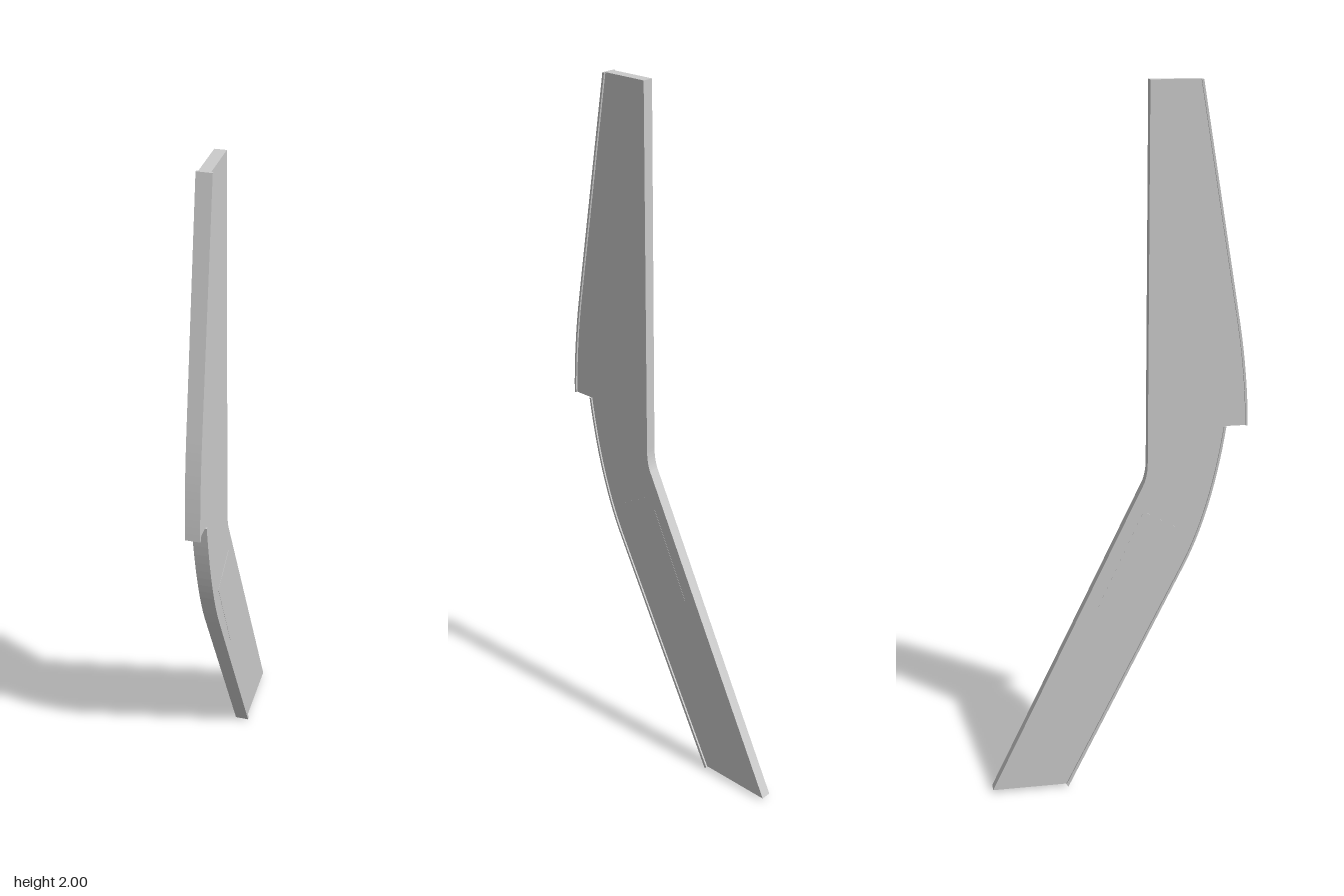
import * as THREE from 'three';

const material = new THREE.MeshStandardMaterial({ color: 0xcccccc });
const TRIM = 0.006; // thickness of the front edging

// Extrudes a side profile of (z, y) points to a width centred on x = 0
function plate(name, points, width) {
  const geometry = new THREE.ExtrudeGeometry(new THREE.Shape(points), { depth: width, bevelEnabled: false });
  geometry.translate(0, 0, -width / 2);
  geometry.rotateY(-Math.PI / 2);
  const mesh = new THREE.Mesh(geometry, material);
  mesh.name = name;
  return mesh;
}

// Moves a downward-running front edge back by a distance along its normals
function inset(points, d) {
  return points.map((p, i) => {
    const a = points[Math.max(i - 1, 0)];
    const b = points[Math.min(i + 1, points.length - 1)];
    const t = b.clone().sub(a).normalize();
    return new THREE.Vector2(p.x + t.y * d, p.y - t.x * d);
  });
}

export function createModel() {
  const group = new THREE.Group();
  group.name = 'bentPost';

  // Front edges, from top to bottom
  const upper = new THREE.Path().moveTo(0.225, 2).lineTo(0.335, 1.37)
    .quadraticCurveTo(0.361, 1.22, 0.365, 1.075).getPoints(14);
  const lower = new THREE.Path().moveTo(0.305, 1.075)
    .quadraticCurveTo(0.27, 0.83, 0.19, 0.67).lineTo(-0.143, 0).getPoints(14);
  const upperInner = inset(upper, TRIM);
  const lowerInner = inset(lower, TRIM);

  // The body ends level at the top, the step and the foot
  upperInner[0].y = 2;
  upperInner[upperInner.length - 1].y = 1.075;
  lowerInner[0].y = 1.075;
  lowerInner[lowerInner.length - 1].y = 0.008;

  // Back edge with a softened bend
  const back = new THREE.Path().moveTo(-0.362, 0.008).lineTo(0.077, 0.92)
    .quadraticCurveTo(0.087, 0.945, 0.087, 0.98).lineTo(0.087, 2).getPoints(8);
  group.add(plate('body', [...upperInner, ...lowerInner, ...back], 0.03));

  // Slightly wider edging along both front edges
  group.add(plate('upperEdging', [...upper, ...upperInner.slice().reverse()], 0.04));
  group.add(plate('lowerEdging', [...lower, ...lowerInner.slice().reverse()], 0.04));

  // Nearly flush panel on each side of the lower half
  const panel = [[0.076, 0.84], [-0.057, 0.55], [0.058, 0.5], [0.182, 0.78]]
    .map(([z, y]) => new THREE.Vector2(z, y));
  group.add(plate('sidePanels', panel, 0.031));

  return group;
}
